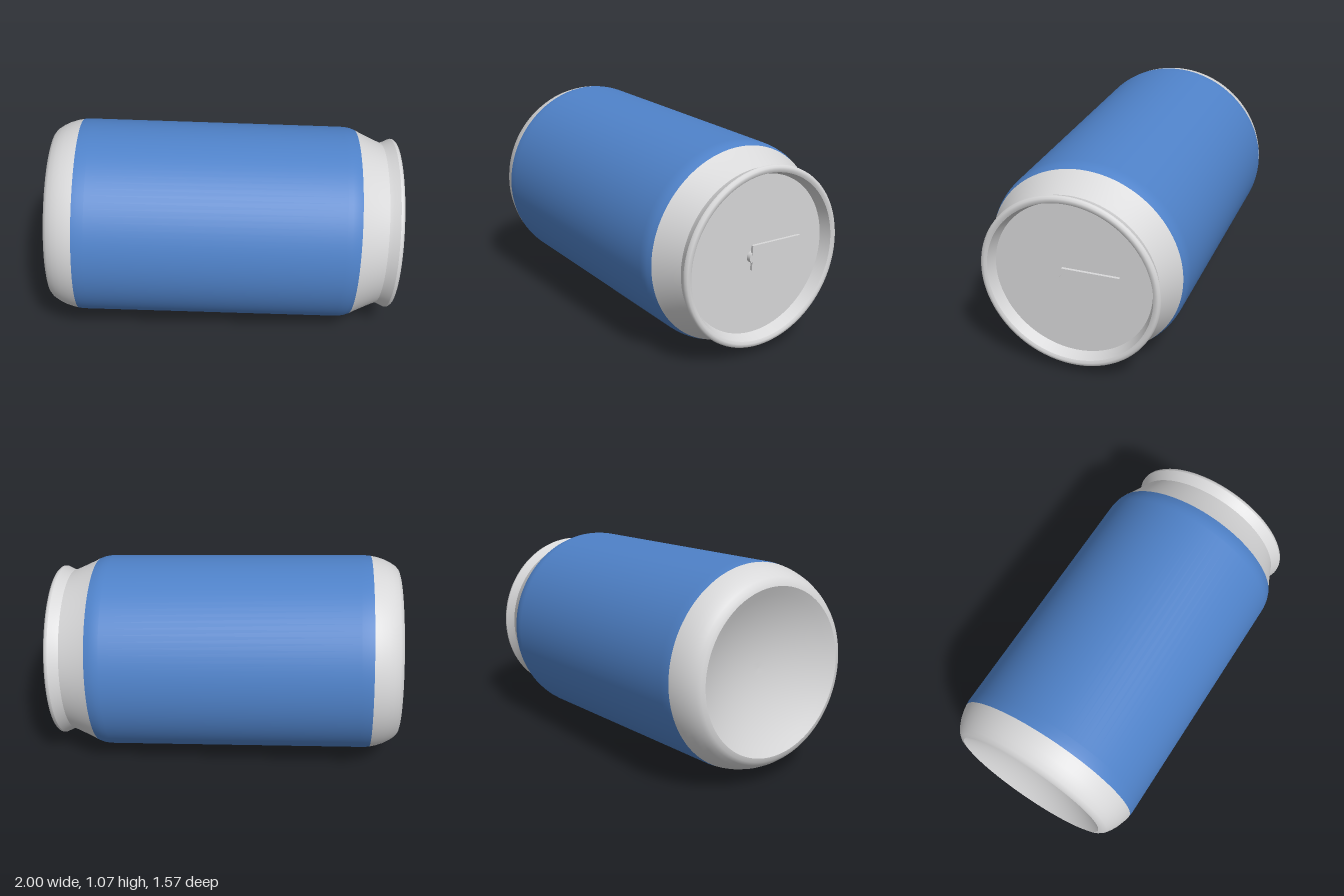
import * as THREE from 'three';

const SEGMENTS = 96;

export function createModel() {
  const paint = new THREE.MeshStandardMaterial({ color: 0x4f82c9 });
  paint.name = 'blue paint';
  const metal = new THREE.MeshStandardMaterial({ color: 0xd8d8d9 });
  metal.name = 'bare metal';

  const can = new THREE.Group();
  can.name = 'can';

  const add = (name, geometry, material) => {
    const mesh = new THREE.Mesh(geometry, material);
    mesh.name = name;
    can.add(mesh);
    return mesh;
  };
  // Each band is turned from [radius, height] pairs; separate bands keep the creases sharp
  const band = (name, points, material) =>
    add(name, new THREE.LatheGeometry(points.map(([r, t]) => new THREE.Vector2(r, t)), SEGMENTS), material);

  // Concave dome pressed into the base
  const dome = [];
  for (let i = 0; i <= 10; i++) {
    const r = 0.413 * i / 10;
    dome.push([r, -0.911 + 0.11 * (1 - (i / 10) ** 2)]);
  }
  band('baseDome', dome, metal);

  // Rounded foot, painted wall and tapered neck
  band('baseShoulder', [[0.413, -0.911], [0.434, -0.905], [0.453, -0.89], [0.472, -0.862],
    [0.488, -0.83], [0.501, -0.79], [0.507, -0.761]], metal);
  band('paintedWall', [[0.507, -0.761], [0.51, -0.735], [0.51, -0.70], [0.51, 0.60],
    [0.509, 0.625], [0.505, 0.65], [0.496, 0.676]], paint);
  band('neck', [[0.496, 0.676], [0.482, 0.703], [0.465, 0.74], [0.447, 0.78], [0.431, 0.82]], metal);

  // Seamed rim and recessed lid
  band('rimFlare', [[0.431, 0.82], [0.438, 0.84], [0.454, 0.872]], metal);
  band('rimLip', [[0.454, 0.872], [0.453, 0.883], [0.445, 0.892], [0.432, 0.893], [0.42, 0.887]], metal);
  band('rimInnerWall', [[0.42, 0.887], [0.4, 0.832]], metal);
  band('lid', [[0.4, 0.832], [0, 0.832]], metal);

  // Rivet and pull tab
  const rivet = add('rivet', new THREE.CylinderGeometry(0.03, 0.03, 0.024, 32), metal);
  rivet.position.set(0, 0.844, 0.03);
  const tab = add('pullTab', new THREE.BoxGeometry(0.125, 0.014, 0.29), metal);
  tab.position.set(0, 0.85, -0.1);

  // Lay the can on its side, turned away and dipping slightly towards the lid
  const axis = new THREE.Vector3(0.907, -0.035, -0.42).normalize();
  const across = new THREE.Vector3(0.42, 0, 0.907).normalize();
  const side = new THREE.Vector3().crossVectors(axis, across);
  can.quaternion.setFromRotationMatrix(new THREE.Matrix4().makeBasis(side, axis, across));
  can.position.set(0, 0.535, -0.01);

  const model = new THREE.Group();
  model.name = 'drinkCan';
  model.add(can);
  return model;
}
